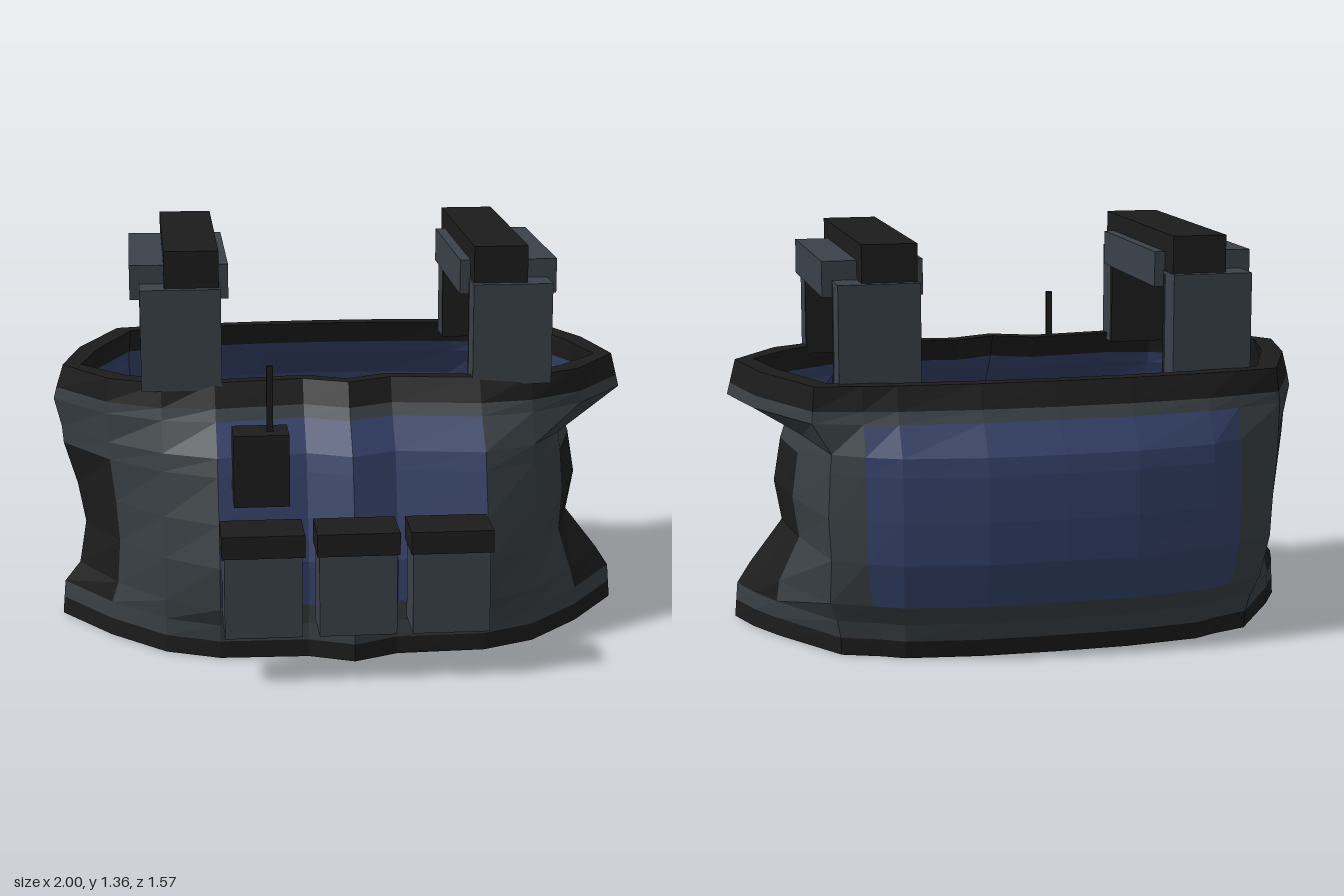
import * as THREE from 'three';

const mat = (name, color, side = THREE.FrontSide) => {
  const m = new THREE.MeshStandardMaterial({ color, flatShading: true, side });
  m.name = name;
  return m;
};

// Half outline at the collar, front to back: x, z, share of the front/back bulge, inward tuck at the hem (x, z)
const OUTLINE = [
  [0, 0.345, 1, 0, 0], [0.15, 0.28, 1, 0, 0], [0.45, 0.318, 1.05, 0, 0.06], [0.63, 0.31, 0.55, 0, 0.01],
  [0.82, 0.22, 0.1, 0, 0], [1, 0, 0, 0, 0], [0.97, -0.14, 0, 0.02, 0], [0.94, -0.27, 0, 0.06, 0],
  [0.79, -0.58, 0.2, 0.09, 0.045], [0.63, -0.61, 0.5, 0.06, 0.03], [0.52, -0.625, 0.8, 0.02, 0.01],
  [0.25, -0.645, 1, 0, 0], [0, -0.65, 1, 0, 0],
];
// Height, front depth, back depth, right reach, left reach, amount of hem tuck
const RINGS = [
  [0, 0.585, 0.66, 0.99, 0.99, 1], [0.06, 0.585, 0.675, 0.985, 0.985, 0.95], [0.12, 0.585, 0.69, 0.98, 0.98, 0.8],
  [0.19, 0.6, 0.74, 0.925, 0.935, 0.35], [0.34, 0.6, 0.78, 0.9, 0.82, 0], [0.48, 0.565, 0.785, 0.925, 0.845, 0],
  [0.63, 0.52, 0.78, 0.97, 0.82, 0], [0.69, 0.5, 0.77, 0.975, 0.8, 0], [0.79, 0.41, 0.7, 1, 1, 0],
  [0.83, 0.385, 0.68, 0.99, 0.99, 0], [0.91, 0.345, 0.65, 0.965, 0.97, 0],
];
const HALF = OUTLINE.length - 1;
const COLS = HALF * 2;
const TOP = RINGS.length - 1;

// Point on the vest wall; inner points are pulled inwards by the wall thickness
function wallPoint(ring, col, inner) {
  const [y, front, back, right, left, tuck] = RINGS[ring];
  const c = col % COLS;
  const mirrored = c > HALF;
  const [px, pz, bulge, tuckX, tuckZ] = OUTLINE[mirrored ? COLS - c : c];
  const reach = mirrored ? right : left;
  let x = px - (1 - reach) * THREE.MathUtils.clamp((px - 0.7) / 0.3, 0, 1) - tuck * tuckX;
  let z = pz + bulge * (pz > 0 ? front - 0.345 : 0.65 - back) - tuck * tuckZ * Math.sign(pz);
  if (inner) {
    const thin = 1 - 0.4 * tuck; // the wall is thinner at the hem
    x *= 1 - 0.065 * thin;
    z -= 0.052 * thin * THREE.MathUtils.clamp(z / 0.2, -1, 1);
  }
  return [mirrored ? -x : x, y, z];
}

export function createModel() {
  const model = new THREE.Group();
  model.name = 'tacticalVest';
  const fabric = mat('greyFabric', 0x383f43, THREE.DoubleSide);
  const blue = mat('bluePanel', 0x334067, THREE.DoubleSide);
  const black = mat('blackTrim', 0x1c1c1c, THREE.DoubleSide);
  const webbing = mat('greyWebbing', 0x3a4149);

  // Vest wall, sorted into one mesh for each coloured part
  const parts = {
    vestBody: [fabric, []], bluePanels: [blue, []], sidePanels: [black, []],
    edgeTrim: [black, []], blueLining: [blue, []], darkLining: [black, []],
  };
  const quad = (part, a, b, c, d) => parts[part][1].push(...a, ...b, ...c, ...a, ...c, ...d);

  for (let j = 0; j < COLS; j++) {
    const k = j < HALF ? j : COLS - 1 - j; // strip index counted from the front
    for (let i = 0; i < TOP; i++) {
      const edge = i === 0 || i === TOP - 1;
      let outer = 'vestBody';
      if (edge) outer = 'edgeTrim';
      else if ((k < 2 || k > 8) && i >= 3 && i <= 7) outer = 'bluePanels';
      else if (k >= 4 && k <= 6 && i >= 2 && i <= 5) outer = 'sidePanels';
      quad(outer, wallPoint(i, j), wallPoint(i, j + 1), wallPoint(i + 1, j + 1), wallPoint(i + 1, j));
      const lining = edge ? 'edgeTrim' : k === 4 || k === 5 ? 'darkLining' : 'blueLining';
      quad(lining, wallPoint(i, j + 1, true), wallPoint(i, j, true),
        wallPoint(i + 1, j, true), wallPoint(i + 1, j + 1, true));
    }
    // Hem and collar edges close the wall
    for (const r of [0, TOP]) {
      const o0 = wallPoint(r, j), o1 = wallPoint(r, j + 1);
      const i0 = wallPoint(r, j, true), i1 = wallPoint(r, j + 1, true);
      if (r) quad('edgeTrim', o0, o1, i1, i0);
      else quad('edgeTrim', o1, o0, i0, i1);
    }
  }
  for (const [name, [material, points]] of Object.entries(parts)) {
    const geometry = new THREE.BufferGeometry();
    geometry.setAttribute('position', new THREE.Float32BufferAttribute(points, 3));
    geometry.computeVertexNormals();
    const mesh = new THREE.Mesh(geometry, material);
    mesh.name = name;
    model.add(mesh);
  }

  // Box given by its limits on each axis
  const box = (parent, name, material, [x0, x1], [y0, y1], [z0, z1]) => {
    const mesh = new THREE.Mesh(new THREE.BoxGeometry(x1 - x0, y1 - y0, z1 - z0), material);
    mesh.position.set((x0 + x1) / 2, (y0 + y1) / 2, (z0 + z1) / 2);
    mesh.name = name;
    parent.add(mesh);
  };

  // Shoulder straps
  for (const side of [1, -1]) {
    const strap = new THREE.Group();
    strap.name = side > 0 ? 'leftShoulderStrap' : 'rightShoulderStrap';
    const span = (a, b) => (side > 0 ? [a, b] : [-b, -a]);
    const width = span(0.425, 0.695);
    // Each post: outer face, middle and inner face in z
    for (const [end, outer, middle, inner] of [['front', 0.322, 0.23, 0.205], ['back', -0.555, -0.46, -0.432]]) {
      const depth = (a, b) => [Math.min(a, b), Math.max(a, b)];
      box(strap, end + 'Post', webbing, width, [0.885, 1.22], depth(outer, middle));
      box(strap, end + 'PostLining', black, width, [0.885, 1.22], depth(middle, inner));
      box(strap, end + 'PostCap', webbing, width, [1.22, 1.23], depth(outer, inner));
    }
    box(strap, 'shoulderBar', webbing, span(0.395, 0.728), [1.175, 1.293], [-0.43, 0.203]);
    box(strap, 'shoulderPad', black, span(0.43, 0.613), [1.225, 1.355], [-0.525, 0.293]);
    model.add(strap);
  }

  // Row of lidded pouches
  for (const x of [-0.317, -0.008, 0.298]) {
    const pouch = new THREE.Group();
    pouch.name = 'pouch';
    box(pouch, 'pouchBody', webbing, [x - 0.127, x + 0.127], [0.163, 0.44], [0.603, 0.775]);
    box(pouch, 'pouchLid', black, [x - 0.135, x + 0.135], [0.438, 0.513], [0.603, 0.787]);
    model.add(pouch);
  }

  // Radio with antenna
  const radio = new THREE.Group();
  radio.name = 'radio';
  box(radio, 'radioBody', black, [-0.403, -0.22], [0.565, 0.807], [0.497, 0.633]);
  box(radio, 'antenna', black, [-0.291, -0.27], [0.8, 1.025], [0.562, 0.583]);
  model.add(radio);

  return model;
}
